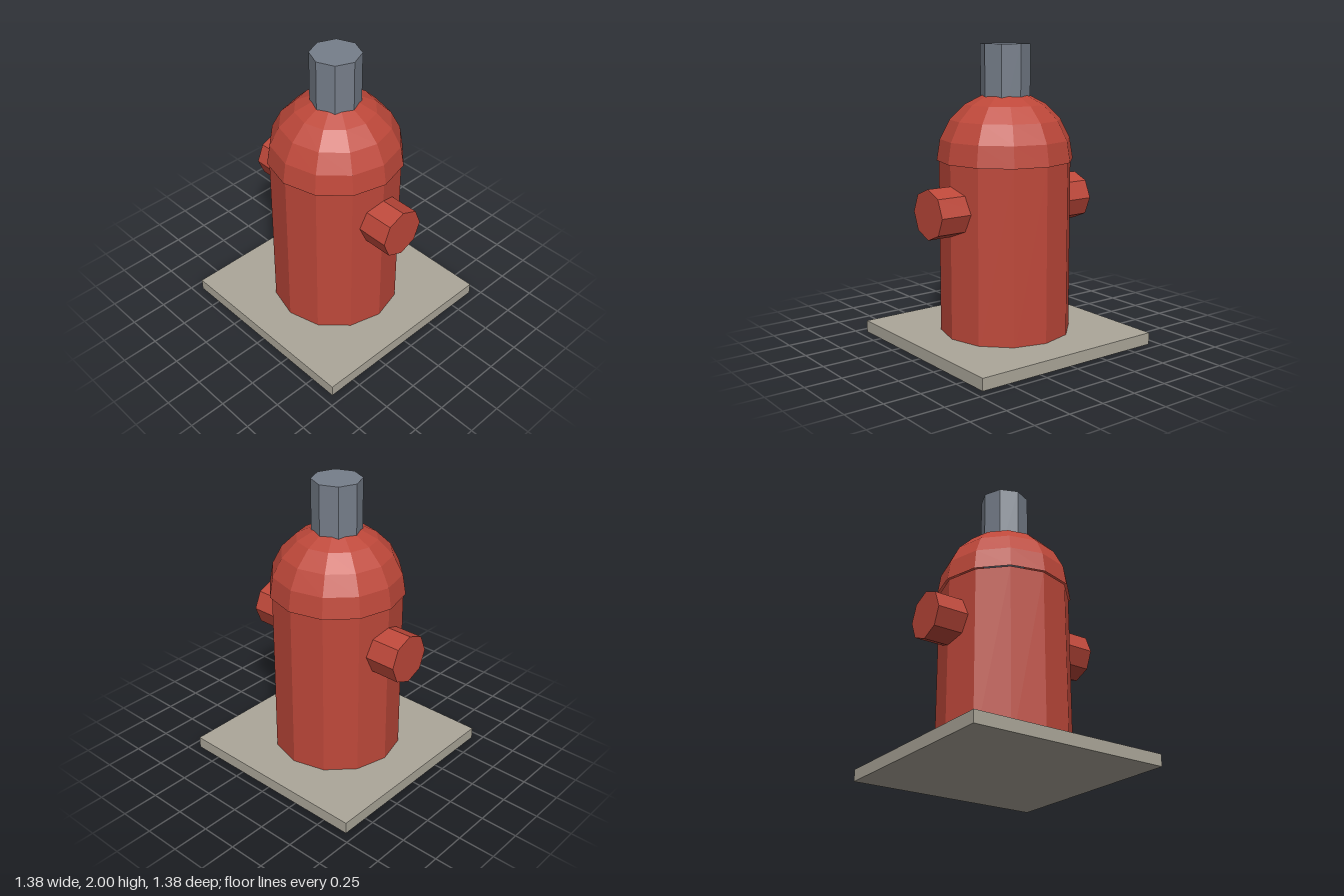
import * as THREE from 'three';

export function createModel() {
  const paint = new THREE.MeshStandardMaterial({ name: 'red paint', color: 0xbe483a, flatShading: true, side: THREE.DoubleSide });
  const steel = new THREE.MeshStandardMaterial({ name: 'grey steel', color: 0x767e8a, flatShading: true });
  const concrete = new THREE.MeshStandardMaterial({ name: 'concrete', color: 0xaca79a, flatShading: true });

  const model = new THREE.Group();
  model.name = 'hydrant';

  const add = (name, geometry, material, x, y, z) => {
    const mesh = new THREE.Mesh(geometry, material);
    mesh.name = name;
    mesh.position.set(x, y, z);
    model.add(mesh);
    return mesh;
  };
  // upright prism between two heights
  const post = (name, radius, sides, y0, y1, material) =>
    add(name, new THREE.CylinderGeometry(radius, radius, y1 - y0, sides), material, 0, (y0 + y1) / 2, 0);

  // square slab and barrel
  add('basePlate', new THREE.BoxGeometry(1.38, 0.08, 1.38), concrete, 0, 0.04, 0);
  post('barrel', 0.44, 12, 0.02, 1.24, paint);

  // faceted hemisphere that slightly overhangs the barrel
  add('dome', new THREE.SphereGeometry(0.455, 12, 5, 0, Math.PI * 2, 0, Math.PI / 2), paint, 0, 1.24, 0);

  // octagonal operating nut on top
  post('topNut', 0.165, 8, 1.5, 2, steel);

  // octagonal outlets on both sides
  for (const side of [1, -1]) {
    const outlet = add(side > 0 ? 'leftOutlet' : 'rightOutlet',
      new THREE.CylinderGeometry(0.165, 0.165, 0.313, 8), paint, side * 0.4565, 0.935, 0);
    outlet.rotation.z = -side * Math.PI / 2;
  }

  return model;
}
